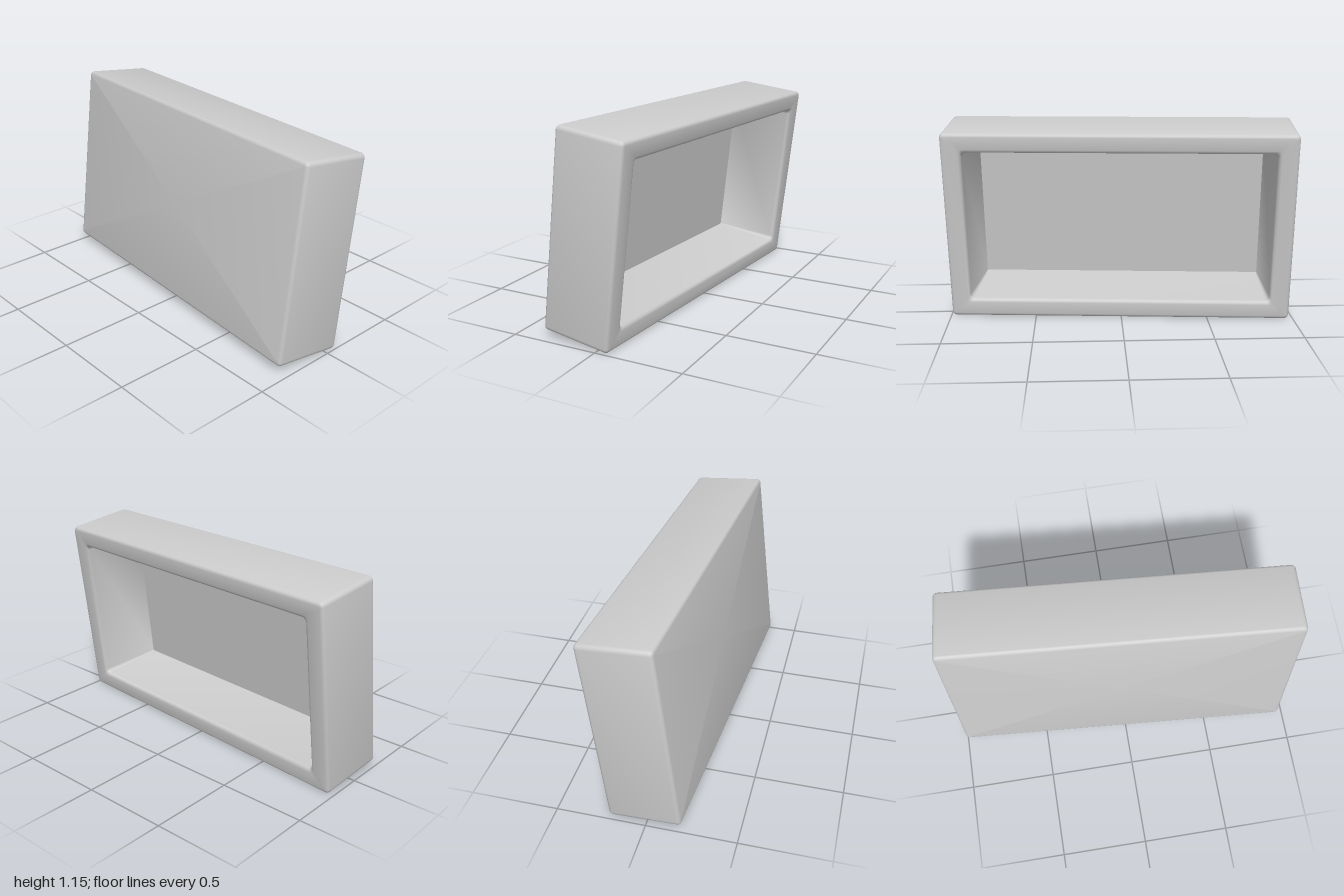
import * as THREE from 'three';
import { toCreasedNormals } from 'three/addons/utils/BufferGeometryUtils.js';

const W = 1.975, H = 1.11, D = 0.41; // overall width, height, depth
const R = 0.02;                      // edge rounding
const STEPS = 4;                     // segments per rounded corner

// Rounded rectangle loop, inset from the outer size, counter-clockwise from +z
function ring([insetX, insetY, z, radius]) {
  const hx = W / 2 - insetX - radius, hy = H / 2 - insetY - radius;
  const points = [];
  [[1, 1], [-1, 1], [-1, -1], [1, -1]].forEach(([sx, sy], corner) => {
    for (let i = 0; i <= STEPS; i++) {
      const a = (corner + i / STEPS) * Math.PI / 2;
      points.push([sx * hx + radius * Math.cos(a), sy * hy + radius * Math.sin(a), z]);
    }
  });
  return points;
}

// Skin a list of loops, optionally closing the first or last one
function skin(sections, capFirst, capLast) {
  const rings = sections.map(ring), pos = [];
  const n = rings[0].length;
  const tri = (a, b, c) => pos.push(...a, ...b, ...c);
  const first = rings[0], last = rings[rings.length - 1];
  for (let j = 0; j < n; j++) {
    const k = (j + 1) % n;
    for (let i = 0; i < rings.length - 1; i++) {
      const p = rings[i], q = rings[i + 1];
      tri(p[j], q[j], p[k]);
      tri(p[k], q[j], q[k]);
    }
    if (capFirst) tri([0, 0, first[0][2]], first[j], first[k]);
    if (capLast) tri([0, 0, last[0][2]], last[k], last[j]);
  }
  const geometry = new THREE.BufferGeometry();
  geometry.setAttribute('position', new THREE.Float32BufferAttribute(pos, 3));
  return toCreasedNormals(geometry, 0.6);
}

// Quarter-round profile: corner index 0 front outer, 1 back outer, 2 back inner
function fillet(corner) {
  const out = [];
  for (let i = 0; i <= 3; i++) {
    const t = i / 3 * Math.PI / 2, s = R * (1 - Math.sin(t)), c = R * (1 - Math.cos(t));
    if (corner === 0) out.push([s, s, D / 2 - c, R + 0.005 - s]);
    if (corner === 1) out.push([c, c, -D / 2 + s, R + 0.005 - c]);
    if (corner === 2) out.push([0.115 - R + R - s, 0.11 - s, -D / 2 + c, R + 0.005]);
  }
  return out;
}

export function createModel() {
  const grey = new THREE.MeshStandardMaterial({ color: 0xcccccc });
  grey.name = 'light grey';

  // Outer casing: flat front, four sides and the rounded rear rim
  const casing = new THREE.Mesh(skin([...fillet(0), ...fillet(1), ...fillet(2)], true, false), grey);
  casing.name = 'casing';

  // Hollow at the back, narrowing slightly towards the front panel
  const recess = new THREE.Mesh(skin([
    [0.115, 0.11, -D / 2 + R, R + 0.005],
    [0.15, 0.125, D / 2 - 0.025, 0.006],
  ], false, true), grey);
  recess.name = 'recess';

  // Leaning back and turned a little to the side
  const body = new THREE.Group();
  body.name = 'tiltedBox';
  body.add(casing, recess);
  body.rotation.set(-0.117, -0.074, 0, 'YXZ');
  body.position.y = 0.575;

  const model = new THREE.Group();
  model.name = 'openBackedBox';
  model.add(body);
  return model;
}
